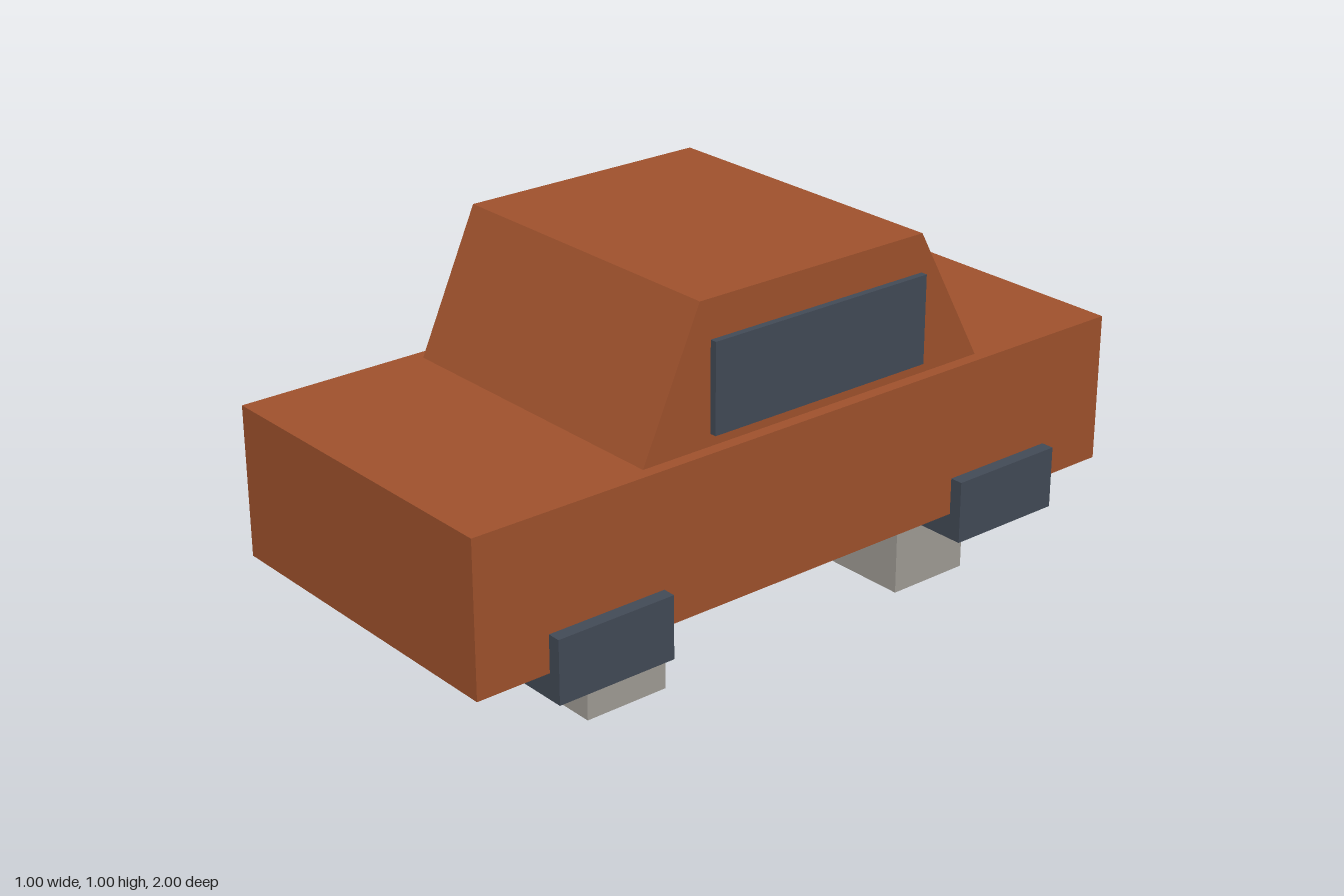
import * as THREE from 'three';

export function createModel() {
  const model = new THREE.Group();
  const paint = new THREE.MeshStandardMaterial({ color: 0xa0522d });
  paint.name = 'rust paint';
  const dark = new THREE.MeshStandardMaterial({ color: 0x434b57 });
  dark.name = 'dark slate';
  const grey = new THREE.MeshStandardMaterial({ color: 0xa29e97 });
  grey.name = 'warm grey';

  function box(name, material, size, position) {
    const mesh = new THREE.Mesh(new THREE.BoxGeometry(...size), material);
    mesh.name = name;
    mesh.position.set(...position);
    model.add(mesh);
    return mesh;
  }

  // Lower body
  box('body', paint, [0.93, 0.4, 2], [0, 0.435, 0]);

  // Cabin: side profile (z, y) extruded across the width
  const profile = new THREE.Shape([
    new THREE.Vector2(-0.5, 0.635),
    new THREE.Vector2(0.565, 0.635),
    new THREE.Vector2(0.365, 1),
    new THREE.Vector2(-0.333, 1),
  ]);
  const cabinGeometry = new THREE.ExtrudeGeometry(profile, { depth: 0.864, bevelEnabled: false });
  cabinGeometry.translate(0, 0, -0.432).rotateY(Math.PI / 2);
  const cabin = new THREE.Mesh(cabinGeometry, paint);
  cabin.name = 'cabin';
  model.add(cabin);

  // Side windows
  for (const [side, name] of [[1, 'leftWindow'], [-1, 'rightWindow']]) {
    box(name, dark, [0.022, 0.233, 0.667], [side * 0.439, 0.783, -0.033]);
  }

  // Rear window, leaning with the back of the cabin
  const rearWindow = box('rearWindow', dark, [0.667, 0.2, 0.02], [0, 0.811, -0.48]);
  rearWindow.rotation.x = Math.PI / 6;

  // Full-width wheel blocks and the grey blocks beneath them
  for (const [end, name] of [[1, 'front'], [-1, 'rear']]) {
    box(name + 'WheelBlock', dark, [1, 0.167, 0.333], [0, 0.25, end * 0.633]);
    box(name + 'Foot', grey, [0.73, 0.24, 0.236], [0, 0.12, end * 0.5]);
  }

  return model;
}
